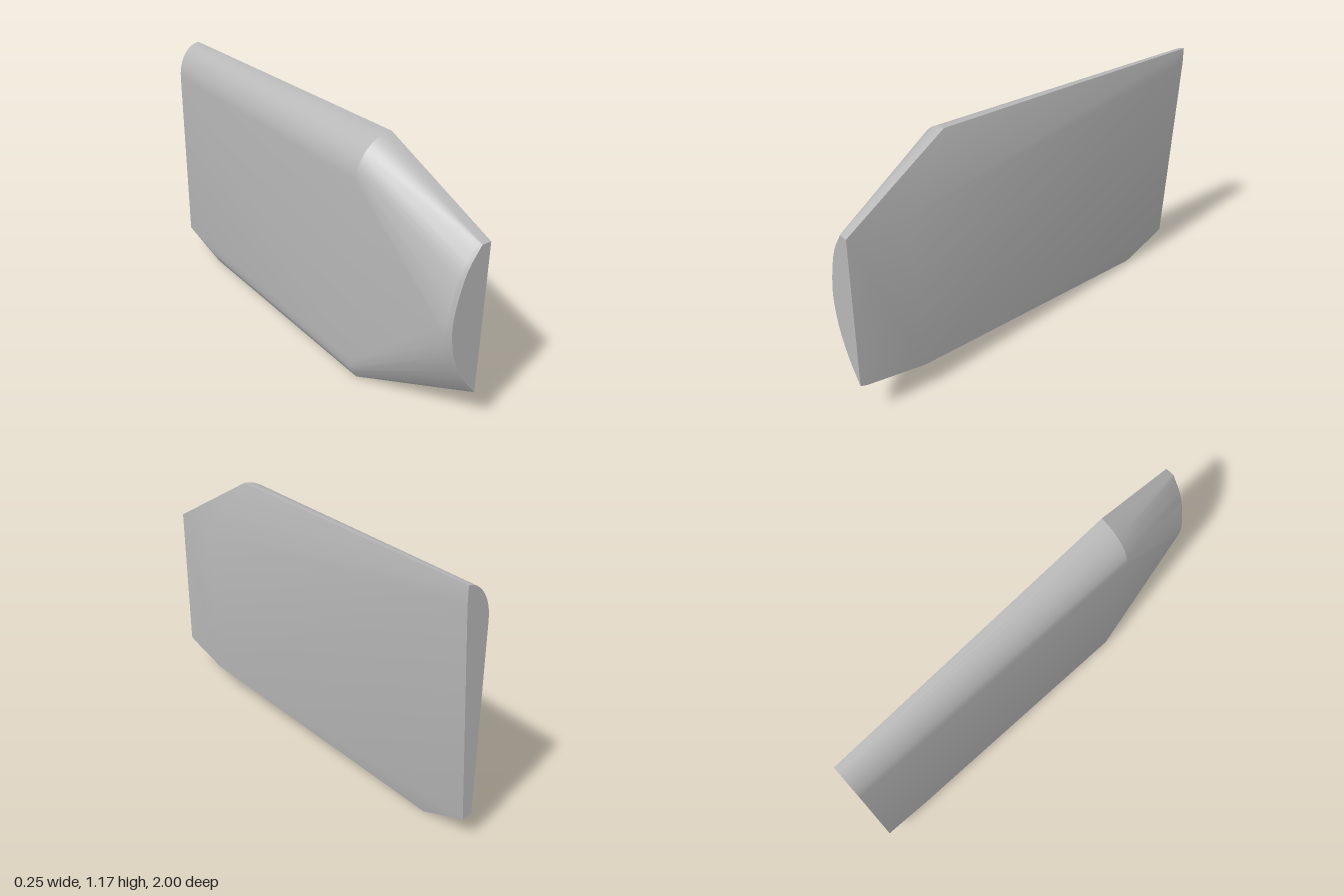
import * as THREE from 'three';
import { ConvexGeometry } from 'three/addons/geometries/ConvexGeometry.js';
import { toCreasedNormals } from 'three/addons/utils/BufferGeometryUtils.js';

// Smooth run of points through [x, y] pairs, placed at depth z
function curveAt(z, pairs, steps) {
  const curve = new THREE.CatmullRomCurve3(pairs.map(([x, y]) => new THREE.Vector3(x, y, z)));
  return curve.getPoints(steps);
}

// Quarter-ellipse shoulder from the flat side up to the top edge
function shoulder(z, topX, topY, sideY, steps = 12) {
  const points = [];
  for (let i = 0; i <= steps; i++) {
    const a = (i / steps) * Math.PI / 2;
    points.push(new THREE.Vector3(
      topX - (topX + 0.125) * Math.cos(a),
      sideY + (topY - sideY) * Math.sin(a), z));
  }
  return points;
}

export function createModel() {
  const grey = new THREE.MeshStandardMaterial({ color: 0xb8b8b8 });
  grey.name = 'plainGrey';

  // Bowed outline of the front end, and the lower rounded edge
  const bow = [[0.08, 0.89], [0.02, 0.8], [-0.015, 0.7], [-0.038, 0.58],
    [-0.036, 0.5], [-0.015, 0.4], [0.04, 0.28], [0.115, 0.18]];
  const keel = [[-0.125, 0.12], [-0.115, 0.06], [-0.08, 0.004]];

  const points = [
    // Rounded top, then the flat end at the back
    ...shoulder(0.48, 0.05, 1.178, 1.0),
    ...shoulder(-1, -0.012, 1.165, 1.0),
    // Rounded bottom
    ...curveAt(0.46, keel, 6),
    ...curveAt(-0.76, keel, 6),
    // Bowed front with a small bevel behind it
    ...curveAt(1, bow, 20),
    ...curveAt(0.985, bow.map(([x, y]) => [Math.min(x - 0.013, 0.112), y]), 20),
    ...curveAt(0.95, bow.map(([x, y]) => [Math.min(x - 0.021, 0.11), y - (y < 0.2 ? 0.012 : 0)]), 20),
  ];

  // Corners of the slanted inner side
  const corners = [
    [0.125, 0.89, 1], [0.125, 0.885, 0.72],
    [0.115, 0.2, 1], [0.115, 0.17, 0.97], [0.115, 0.132, 0.68],
    [-0.012, 1.09, -1], [-0.08, 0.11, -1], [-0.125, 0.125, -1],
  ];
  corners.forEach((c) => points.push(new THREE.Vector3(...c)));

  const body = new THREE.Mesh(toCreasedNormals(new ConvexGeometry(points), 0.3), grey);
  body.name = 'panelBody';

  const group = new THREE.Group();
  group.name = 'roundedPanel';
  group.add(body);
  return group;
}
